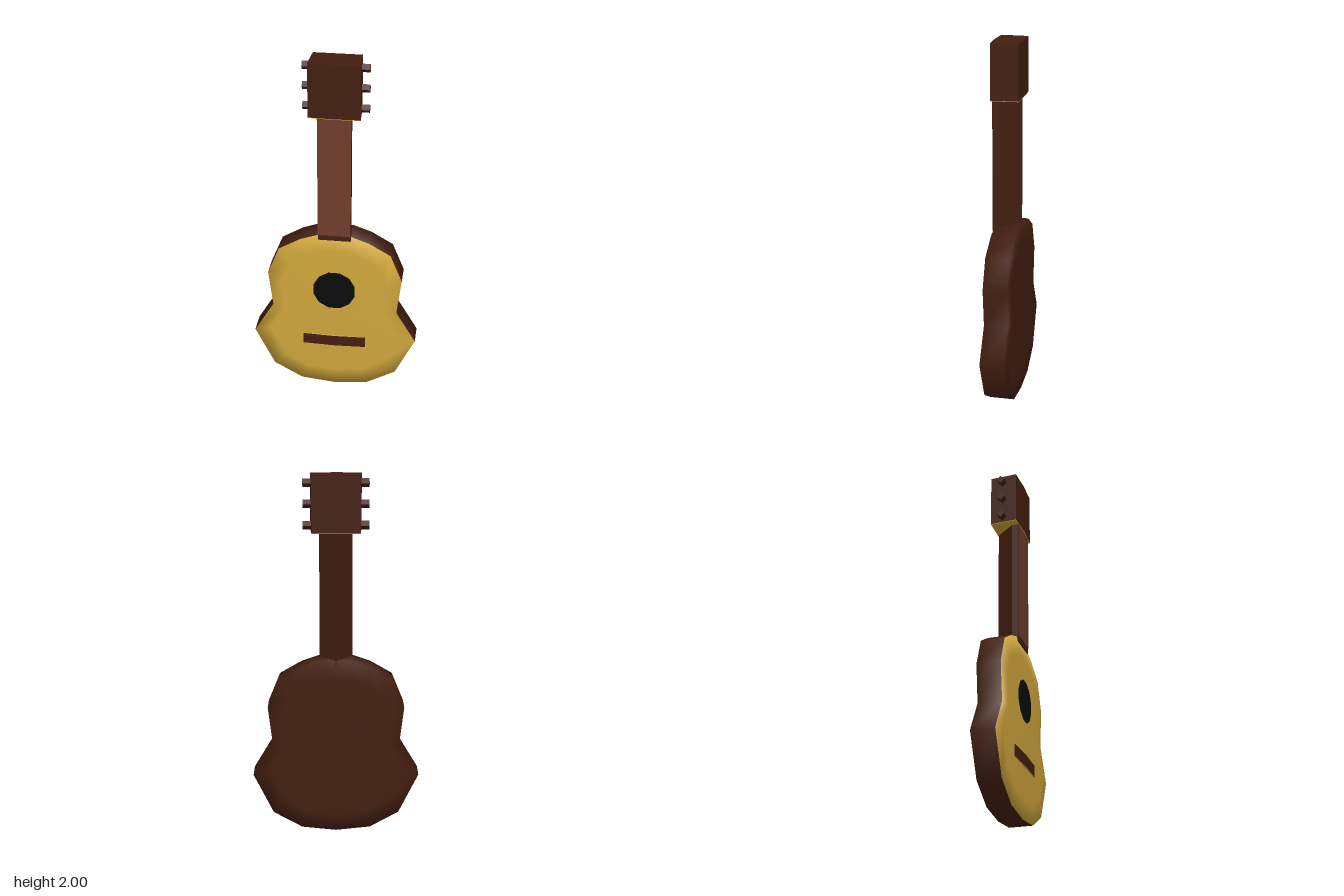
import * as THREE from 'three';

const mat = (color) => new THREE.MeshStandardMaterial({ color });
const brown = mat(0x431e10);
const yellow = mat(0xd0a63c);
const board = mat(0x6e3d2c);
const black = mat(0x0b0b0b);

// Right half of the body outline, from top centre to bottom centre
const half = [[0, 1], [0.09, 0.995], [0.19, 0.96], [0.31, 0.89], [0.375, 0.73], [0.35, 0.52],
  [0.46, 0.335], [0.35, 0.11], [0.19, 0.02], [0, 0]];
const outline = [...half, ...half.slice(1, -1).reverse().map(([x, y]) => [-x, y])];

// Rings run from the front centre over the rim to the back centre
function bodyGeometry() {
  const rings = [[0.01, 0.072], [0.8, 0.069], [1, 0.058], [1, -0.073], [0.8, -0.079], [0.01, -0.08]];
  const n = outline.length, pos = [], index = [];
  for (const [s, z] of rings) {
    for (const [x, y] of outline) pos.push(x * s, 0.5 + (y - 0.5) * s, z);
  }
  for (let r = 0; r < rings.length - 1; r++) {
    for (let i = 0; i < n; i++) {
      const j = (i + 1) % n;
      const a = r * n + i, b = r * n + j, c = a + n, d = b + n;
      index.push(a, b, c, b, d, c);
    }
  }
  // Close the tiny centre rings
  const last = (rings.length - 1) * n;
  for (let i = 1; i < n - 1; i++) index.push(last, last + i, last + i + 1);
  const frontCount = 2 * n * 6;
  const total = index.length;
  for (let i = 1; i < n - 1; i++) index.push(0, i + 1, i);
  const g = new THREE.BufferGeometry();
  g.setAttribute('position', new THREE.Float32BufferAttribute(pos, 3));
  g.setIndex(index);
  g.computeVertexNormals();
  g.addGroup(0, frontCount, 0);
  g.addGroup(frontCount, total - frontCount, 1);
  g.addGroup(total, index.length - total, 0);
  return g;
}

// Upright prism from a section of [x, z] points
function prism(section, y0, y1) {
  const shape = new THREE.Shape(section.map(([x, z]) => new THREE.Vector2(x, -z)));
  const g = new THREE.ExtrudeGeometry(shape, { depth: y1 - y0, bevelEnabled: false });
  return g.rotateX(-Math.PI / 2).translate(0, y0, 0);
}

export function createModel() {
  const model = new THREE.Group();
  const add = (name, geometry, material) => {
    const mesh = new THREE.Mesh(geometry, material);
    mesh.name = name;
    model.add(mesh);
    return mesh;
  };

  add('body', bodyGeometry(), [yellow, brown]);

  // Sound hole, a dark disc just above the front
  const hole = add('soundHole', new THREE.CircleGeometry(0.12, 12, Math.PI / 12), black);
  hole.position.set(0, 0.65, 0.0745);

  // Bridge, slightly bowed, with pale ends above and below
  add('bridge', prism([[-0.178, 0.055], [0.178, 0.055], [0.178, 0.074], [0, 0.081], [-0.178, 0.074]],
    0.28, 0.345), [yellow, brown]);

  // Neck with a ridged back, and its lighter fingerboard
  add('neck', prism([[-0.09, 0.03], [0, -0.077], [0.09, 0.03], [0.09, 0.068], [-0.09, 0.068]],
    0.97, 1.7), brown);
  add('fingerboard', new THREE.PlaneGeometry(0.18, 0.7).translate(0, 1.35, 0.07), board);

  // Headstock with a pale underside
  const headSection = [[-0.13, -0.082], [0.13, -0.082], [0.138, 0.068], [0, 0.074], [-0.138, 0.068]];
  add('headstock', prism(headSection, 1.7, 2), brown);
  add('headstockUnderside', prism(headSection, 1.697, 1.7), yellow);

  // Three four-sided tuning pegs on each side
  for (const side of [-1, 1]) {
    for (const y of [1.732, 1.845, 1.957]) {
      const peg = add('tuningPeg', new THREE.CylinderGeometry(0.023, 0.023, 0.06, 4).toNonIndexed(),
        brown);
      peg.geometry.computeVertexNormals();
      peg.rotation.z = Math.PI / 2;
      peg.position.set(side * 0.147, y, -0.012);
    }
  }
  return model;
}
